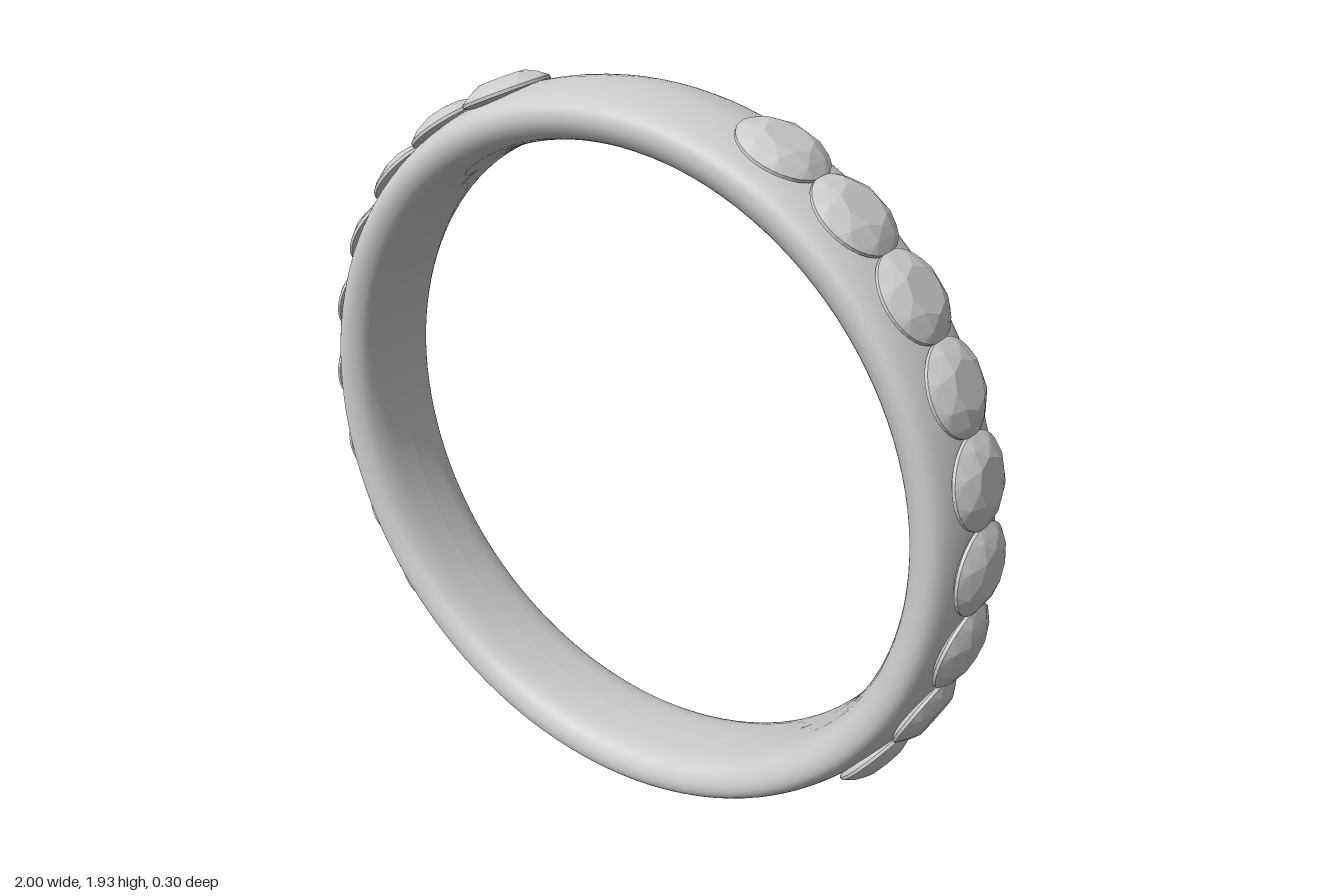
import * as THREE from 'three';
import { ConvexGeometry } from 'three/addons/geometries/ConvexGeometry.js';

const CENTRE_Y = 0.967;
const STEP = THREE.MathUtils.degToRad(13.1);

// Points evenly spaced on a horizontal circle
function circle(count, radius, y, turn = 0) {
  return Array.from({ length: count }, (_, i) => {
    const a = ((i + turn) / count) * Math.PI * 2;
    return new THREE.Vector3(Math.cos(a) * radius, y, Math.sin(a) * radius);
  });
}

// Round brilliant-cut stone: table, crown, girdle and pavilion, pointing up +y
function stoneGeometry() {
  return new ConvexGeometry([
    ...circle(8, 0.06, 0.034),
    ...circle(8, 0.093, 0.02, 0.5),
    ...circle(32, 0.115, 0.002),
    ...circle(32, 0.115, -0.006),
    new THREE.Vector3(0, -0.07, 0),
  ]);
}

// Closed band section: inside centre, round one edge, across the outside, and back
function bandGeometry() {
  const half = [
    [0.83, 0], [0.832, 0.05], [0.837, 0.09], [0.851, 0.125], [0.875, 0.144],
    [0.9, 0.15], [0.924, 0.143], [0.943, 0.118], [0.958, 0.07], [0.967, 0],
  ];
  const lower = half.map(([r, z]) => new THREE.Vector2(r, -z));
  const upper = half.slice(1, -1).reverse().map(([r, z]) => new THREE.Vector2(r, z));
  const section = new THREE.SplineCurve([...lower, ...upper, lower[0].clone()]);
  return new THREE.LatheGeometry(section.getPoints(54), 128);
}

export function createModel() {
  const group = new THREE.Group();
  group.name = 'ring';
  const metal = new THREE.MeshStandardMaterial({ color: 0xcccccc });
  const gem = new THREE.MeshStandardMaterial({ color: 0xcccccc, flatShading: true });

  const band = new THREE.Mesh(bandGeometry(), metal);
  band.name = 'band';
  band.rotation.x = Math.PI / 2;
  band.position.y = CENTRE_Y;
  group.add(band);

  // Nine stones along each side, leaving the top and bottom plain
  const geometry = stoneGeometry();
  for (const side of [1, -1]) {
    const row = new THREE.Group();
    row.name = side > 0 ? 'leftStones' : 'rightStones';
    for (let i = -3; i <= 5; i++) {
      const angle = i * STEP;
      const stone = new THREE.Mesh(geometry, gem);
      stone.name = 'stone';
      stone.position.set(side * Math.cos(angle) * 0.966, CENTRE_Y + Math.sin(angle) * 0.966, 0);
      stone.rotation.z = side * (angle - Math.PI / 2);
      row.add(stone);
    }
    group.add(row);
  }
  return group;
}
